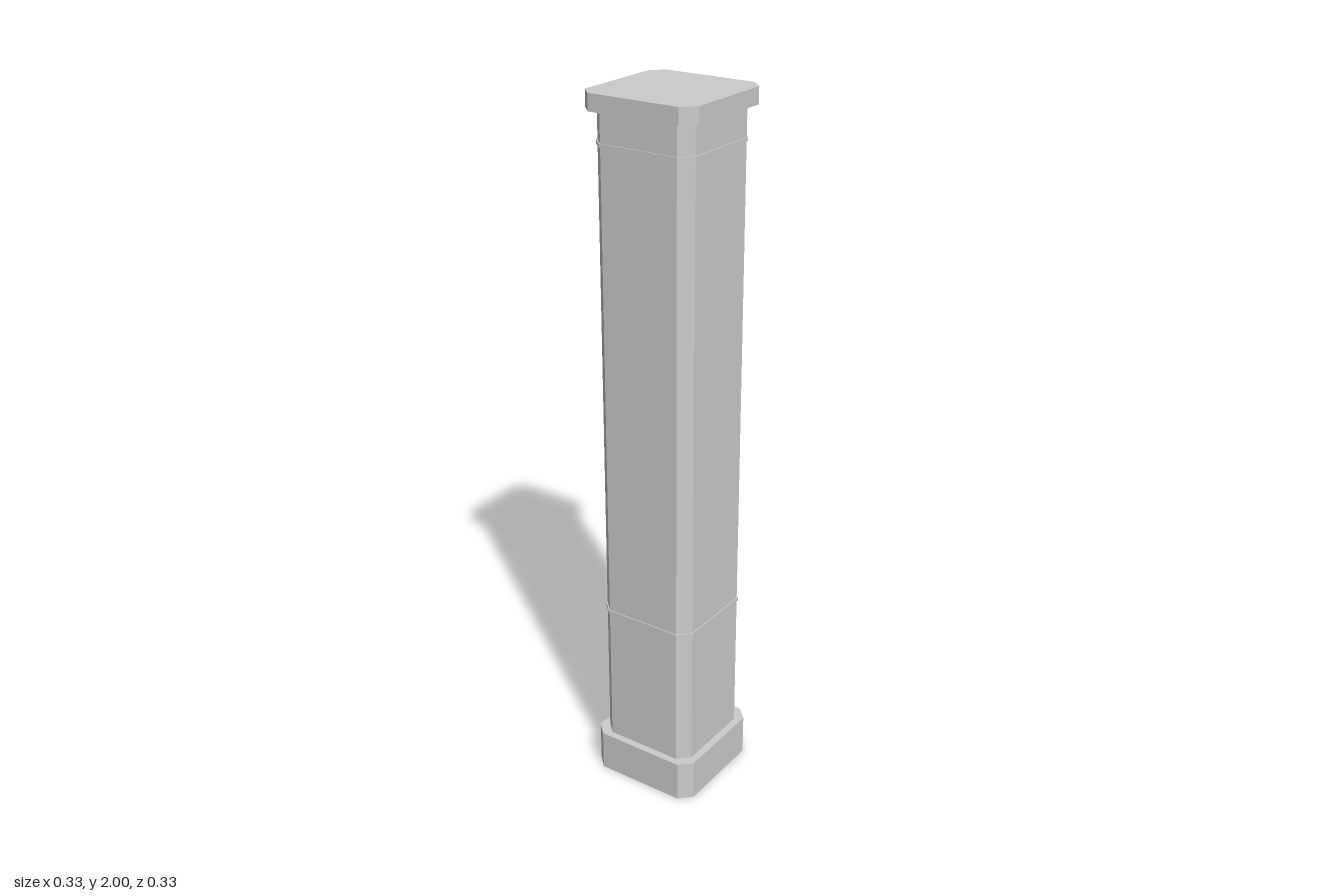
import * as THREE from 'three';

const material = new THREE.MeshStandardMaterial({ color: 0xcccccc, flatShading: true });

// Square block with chamfered vertical corners, from y0 to y1
function chamferedBlock(name, half, chamfer, y0, y1) {
  const inner = half - chamfer;
  const corners = [
    [half, -inner], [half, inner], [inner, half], [-inner, half],
    [-half, inner], [-half, -inner], [-inner, -half], [inner, -half],
  ];
  const shape = new THREE.Shape(corners.map(([x, y]) => new THREE.Vector2(x, y)));
  const geometry = new THREE.ExtrudeGeometry(shape, { depth: y1 - y0, bevelEnabled: false });
  geometry.rotateX(-Math.PI / 2);
  geometry.translate(0, y0, 0);
  const mesh = new THREE.Mesh(geometry, material);
  mesh.name = name;
  return mesh;
}

export function createModel() {
  const column = new THREE.Group();
  column.name = 'column';

  // Plinth, shaft and cap
  column.add(chamferedBlock('base', 0.167, 0.034, 0, 0.12));
  column.add(chamferedBlock('shaft', 0.146, 0.032, 0.12, 1.955));
  column.add(chamferedBlock('cap', 0.167, 0.034, 1.955, 2));

  // Thin raised beads around the shaft
  [['lowerBead', 0.537], ['upperBead', 1.87]].forEach(([name, y]) => {
    column.add(chamferedBlock(name, 0.149, 0.033, y - 0.005, y + 0.005));
  });

  return column;
}
